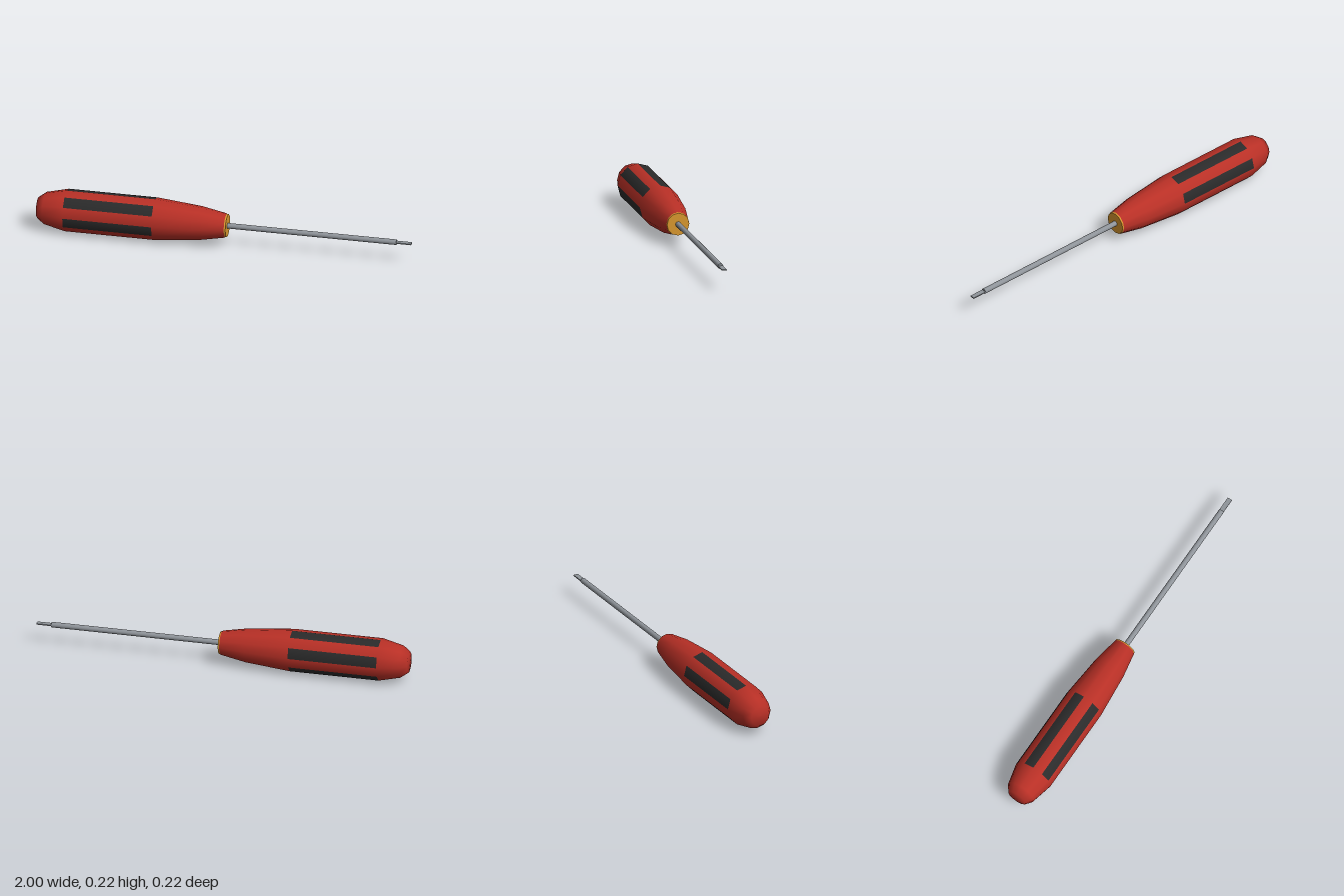
import * as THREE from 'three';

const AXIS_Y = 0.1125; // height of the tool's long axis

function material(name, color) {
  const m = new THREE.MeshStandardMaterial({ color });
  m.name = name;
  return m;
}

export function createModel() {
  const red = material('red plastic', 0xb93026);
  const black = material('black rubber', 0x2b2b2b);
  const yellow = material('yellow collar', 0xd9982f);
  const steel = material('steel', 0x8f949a);

  const model = new THREE.Group();
  model.name = 'screwdriver';

  function add(name, geometry, mat) {
    const mesh = new THREE.Mesh(geometry, mat);
    mesh.name = name;
    mesh.position.y = AXIS_Y;
    model.add(mesh);
    return mesh;
  }

  // Twelve-sided handle, [x, radius] from butt to neck
  const profile = [
    [-1, 0], [-0.998, 0.056], [-0.96, 0.085], [-0.845, 0.1125],
    [-0.37, 0.1125], [-0.13, 0.09], [0.008, 0.064],
  ];
  const SIDES = 12, GRIP_ROW = 3;
  const handle = new THREE.LatheGeometry(
    profile.map(([x, r]) => new THREE.Vector2(r, x)), SIDES, -Math.PI / 2);
  handle.rotateZ(-Math.PI / 2);
  handle.scale(1, 1, 0.965);

  // Rubber grips on every other face of the straight section
  const rows = profile.length - 1;
  for (let side = 0; side < SIDES; side++) {
    for (let row = 0; row < rows; row++) {
      const grip = row === GRIP_ROW && side % 2 === 1;
      handle.addGroup((side * rows + row) * 6, 6, grip ? 1 : 0);
    }
  }
  add('handle', handle, [red, black]);

  // Collar closing the neck of the handle
  const collar = new THREE.CylinderGeometry(0.06, 0.063, 0.015, SIDES);
  collar.rotateZ(-Math.PI / 2);
  add('collar', collar, yellow).position.x = 0.0085;

  // Round shaft
  const shaft = new THREE.CylinderGeometry(0.0145, 0.0145, 0.92, 16);
  shaft.rotateZ(-Math.PI / 2);
  add('shaft', shaft, steel).position.x = 0.46;

  // Flat blade tip
  const blade = new THREE.BoxGeometry(0.09, 0.006, 0.026);
  add('blade', blade, steel).position.x = 0.955;

  return model;
}
